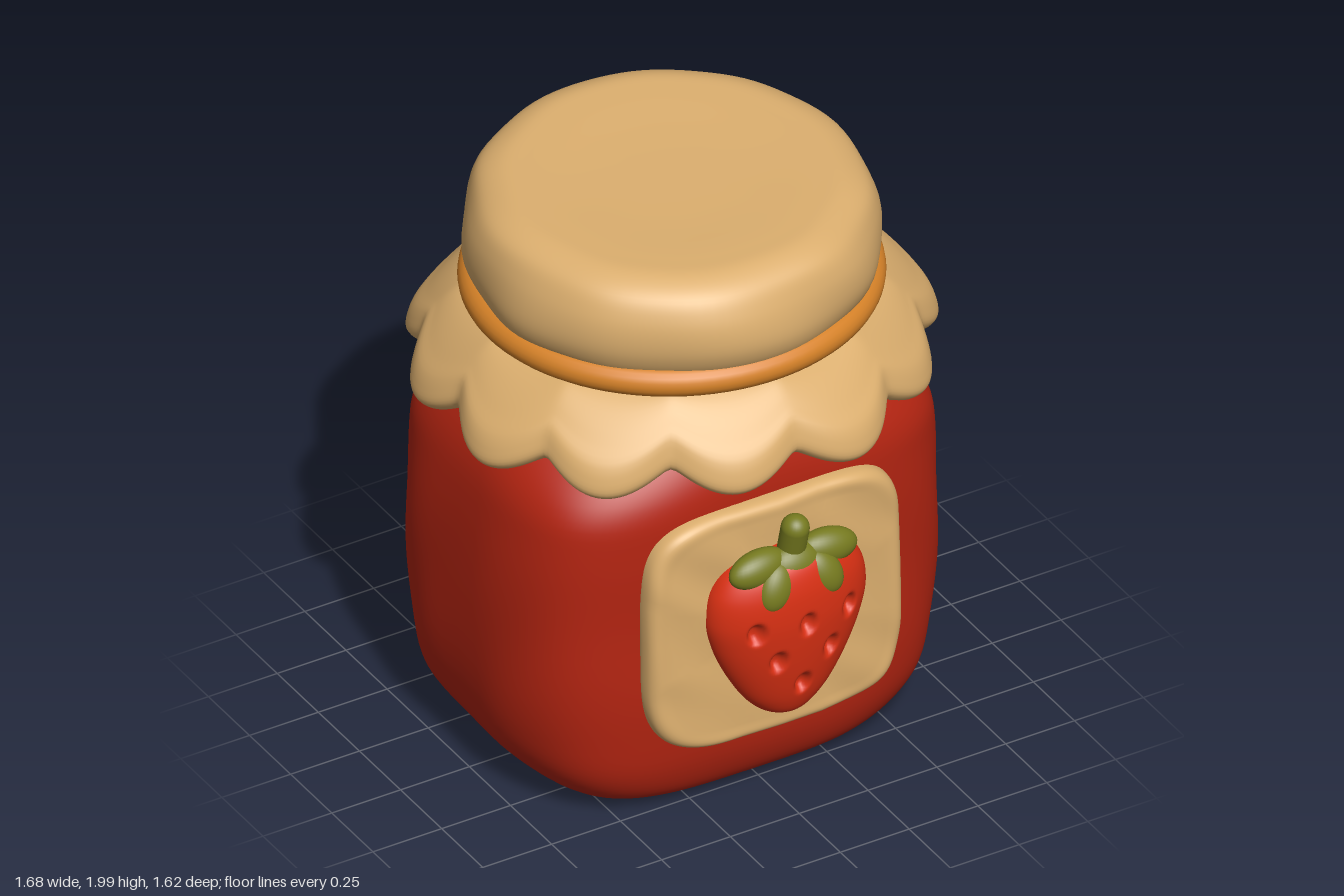
import * as THREE from 'three';

const mat = (name, color) => {
  const m = new THREE.MeshStandardMaterial({ color });
  m.name = name;
  return m;
};

// Smooth curve through a few [a, b, c] cross-section settings
const smooth = (rows, n) =>
  new THREE.CatmullRomCurve3(rows.map(r => new THREE.Vector3(r[0], r[1], r[2] ?? 0))).getPoints(n);

// Skin closed rings: point(row, angle) gives the position of each corner
function loft(rows, segs, point) {
  const pos = [], idx = [];
  rows.forEach((row, i) => {
    for (let j = 0; j < segs; j++) {
      pos.push(...point(row, (j / segs) * Math.PI * 2));
      if (i === rows.length - 1) continue;
      const a = i * segs + j, b = i * segs + ((j + 1) % segs);
      idx.push(a, a + segs, b, b, a + segs, b + segs);
    }
  });
  const g = new THREE.BufferGeometry();
  g.setAttribute('position', new THREE.Float32BufferAttribute(pos, 3));
  g.setIndex(idx);
  g.computeVertexNormals();
  return g;
}

// Rounded-square outline on the unit circle; p = 2 is round, larger is squarer
function squircle(t, p) {
  const c = Math.cos(t), s = Math.sin(t);
  const f = v => Math.sign(v) * Math.pow(Math.abs(v), 2 / p);
  return [f(c), f(s)];
}

// Gentle hand-modelled unevenness
const lump = (x, y, z) =>
  0.004 * Math.sin(7 * x + 5 * y + 1) * Math.sin(9 * z - 4 * y) + 0.003 * Math.sin(13 * y + 6 * x - 8 * z);

export function createModel() {
  const group = new THREE.Group();
  const jam = mat('jam red', 0xb32411);
  const cloth = mat('cloth tan', 0xdbae6e);
  const band = mat('band orange', 0xd68228);
  const berry = mat('berry red', 0xd93013);
  const green = mat('leaf green', 0x767a1f);

  const add = (name, geometry, material, parent = group) => {
    const m = new THREE.Mesh(geometry, material);
    m.name = name;
    parent.add(m);
    return m;
  };

  // Jar: squarish body narrowing to a round neck (half width, y, half depth)
  const jarRows = smooth([
    [0, 0.01, 0], [0.3, 0.008, 0.25], [0.5, 0.008, 0.43], [0.61, 0.05, 0.53], [0.715, 0.17, 0.59],
    [0.765, 0.35, 0.61], [0.785, 0.7, 0.61], [0.775, 1.0, 0.615], [0.745, 1.18, 0.61],
    [0.68, 1.3, 0.58], [0.57, 1.4, 0.54], [0.55, 1.55, 0.54], [0, 1.57, 0]], 72);
  add('jar', loft(jarRows, 128, (r, t) => {
    const p = THREE.MathUtils.lerp(3.4, 2, THREE.MathUtils.smoothstep(r.y, 1.1, 1.4));
    const [c, s] = squircle(t, p);
    const k = 1 + lump(c, r.y, s);
    return [r.x * c * k - 0.008, r.y, r.z * s * k - 0.01];
  }), jam);

  // Cloth cover over the lid, tilted a little towards the front
  const lidRows = smooth([
    [0.56, 1.57], [0.63, 1.64], [0.655, 1.7], [0.66, 1.77], [0.645, 1.86], [0.61, 1.93],
    [0.54, 1.968], [0.45, 1.972], [0.25, 1.965], [0, 1.963]], 54);
  add('lidCover', loft(lidRows, 96, (r, t) => {
    const k = 1 + 2 * lump(Math.cos(t), r.y, Math.sin(t));
    const x = r.x * Math.cos(t) * k, z = r.x * Math.sin(t) * k;
    return [x - 0.004, r.y - 0.045 * z * THREE.MathUtils.smoothstep(r.y, 1.65, 1.96), z * 0.985 - 0.015];
  }), cloth);

  // Band tied round the lid
  const ring = add('band', new THREE.TorusGeometry(0.622, 0.051, 20, 96), band);
  ring.rotation.x = Math.PI / 2;
  ring.scale.y = 0.98;
  ring.position.set(-0.004, 1.608, -0.018);

  // Ruffled cloth skirt: up the outside from inside the lip (radius, y, ruffle weight)
  const skirtRows = smooth([
    [0.57, 1.52, 0], [0.66, 1.45, 0.5], [0.72, 1.37, 0.9], [0.765, 1.305, 1], [0.8, 1.285, 1],
    [0.835, 1.315, 1], [0.825, 1.38, 1], [0.77, 1.46, 0.75], [0.69, 1.54, 0.4], [0.6, 1.59, 0]], 45);
  add('clothSkirt', loft(skirtRows, 288, (r, t) => {
    const lobe = Math.sqrt(Math.sin(6 * t) ** 2 + 0.015);
    const rad = r.x + r.z * (0.07 * (lobe - 0.75) + 0.012 * Math.sin(5 * t + 1));
    const y = r.y - r.z * 0.085 * (lobe - 0.82);
    return [rad * Math.cos(t), y, rad * Math.sin(t) * 0.95 - 0.02];
  }), cloth);

  // Pillow-like labels on front and back (size factor, z)
  const labelRows = smooth([
    [0, 0.565], [0.9, 0.56], [0.975, 0.57], [1, 0.6], [0.995, 0.64], [0.96, 0.662],
    [0.85, 0.666], [0.45, 0.666], [0, 0.666]], 48);
  const labelGeo = loft(labelRows, 96, (r, t) => {
    const [c, s] = squircle(t, 4.8);
    const x = 0.46 * c * r.x, y = -0.425 * s * r.x;
    return [x, 0.71 + y, r.y - 0.12 * x * x - 0.025 * y + lump(3 * x, 2 * y, 1)];
  });
  add('frontLabel', labelGeo, cloth).position.x = -0.01;
  const backLabel = add('backLabel', labelGeo, cloth);
  backLabel.rotation.y = Math.PI;
  backLabel.position.set(-0.01, 0, -0.03);

  // Strawberry with dimpled seeds (half width, y)
  const fruit = new THREE.Group();
  fruit.name = 'strawberry';
  group.add(fruit);
  const pits = [[-0.165, 0.745], [0.005, 0.745], [0.17, 0.745], [-0.09, 0.62], [0.1, 0.62], [0.005, 0.505]];
  const fruitRows = smooth([
    [0, 0.36], [0.07, 0.37], [0.14, 0.43], [0.21, 0.54], [0.265, 0.67], [0.285, 0.77],
    [0.265, 0.87], [0.19, 0.95], [0, 0.98]], 112);
  add('fruit', loft(fruitRows, 192, (r, t) => {
    const x = r.x * Math.cos(t), y = r.y;
    let z = 0.655 + 0.15 * Math.pow(Math.max(r.x, 0) / 0.285, 0.7) * Math.sin(t);
    if (Math.sin(t) > 0) {
      for (const [px, py] of pits) {
        const d = ((x - px) / 0.024) ** 2 + ((y - py) / 0.034) ** 2;
        z -= 0.034 * Math.exp(-d * d);
      }
    }
    return [x, y, z];
  }), berry, fruit);

  // Leaves: position, size, roll
  const ball = new THREE.SphereGeometry(1, 32, 20);
  const leaf = (name, p, s, roll, pitch = 0) => {
    const m = add(name, ball, green, fruit);
    m.position.set(...p);
    m.scale.set(...s);
    m.rotation.set(pitch, 0, roll);
  };
  leaf('leafCentre', [0, 0.93, 0.72], [0.1, 0.075, 0.055], 0, -0.3);
  for (const side of [-1, 1]) {
    leaf('sideLeaf', [side * 0.125, 0.95, 0.71], [0.105, 0.06, 0.05], side * -0.12, -0.3);
    leaf('lowerLeaf', [side * 0.085, 0.89, 0.75], [0.062, 0.085, 0.045], side * 0.5, -0.3);
  }

  // Stem
  const stem = add('stem', new THREE.CapsuleGeometry(0.046, 0.1, 10, 24), green, fruit);
  stem.position.set(0, 1.02, 0.713);
  stem.rotation.x = 0.25;

  return group;
}
